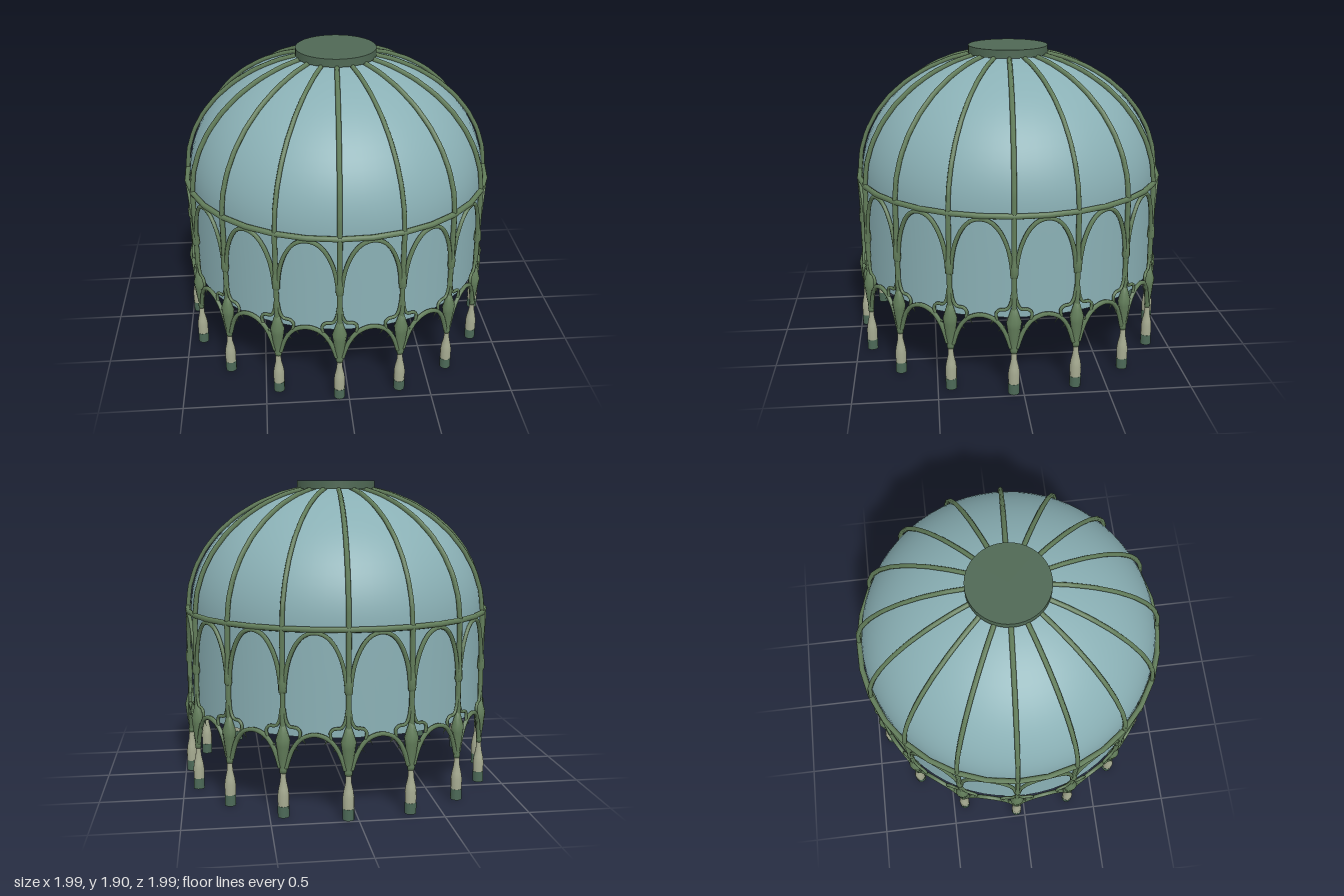
import * as THREE from 'three';

const N = 16, STEP = (Math.PI * 2) / N, PHASE = 0.0593;
const R = 0.962;            // radius of the ring of posts
const HALF = 0.189;         // half the arc length of one bay

const mat = (color, side = THREE.FrontSide) => new THREE.MeshStandardMaterial({ color, side });
const v2 = (p) => new THREE.Vector2(p[0], p[1]);

export function createModel() {
  const model = new THREE.Group();
  const cloth = mat(0x8ab0b5, THREE.DoubleSide);
  const iron = mat(0x627d5a);
  const capMat = mat(0x4f6854);
  const silk = mat(0xa5aa90);
  const tipMat = mat(0x4c6957);

  const add = (parent, name, geo, material) => {
    const m = new THREE.Mesh(geo, material);
    m.name = name;
    parent.add(m);
    return m;
  };

  // point on the post ring: s = arc length from the post, y = height
  const onRing = (s, y, r = R) => new THREE.Vector3(r * Math.cos(s / R), y, r * Math.sin(s / R));
  const tube = (pts, radius, seg) =>
    new THREE.TubeGeometry(new THREE.CatmullRomCurve3(pts), seg, radius, 6);
  // mirror half a bay (post to crown) into the full bay
  const fullBay = (half) => [
    ...half.map(([s, y]) => onRing(s, y)),
    ...half.slice(0, -1).reverse().map(([s, y]) => onRing(2 * HALF - s, y)),
  ];

  // cloth dome with open skirt
  const profile = [[0.94, 0.475], [0.94, 0.8]];
  for (let i = 0; i <= 20; i++) {
    const t = (i / 20) * Math.PI / 2;
    profile.push([0.94 * Math.cos(t), 1.1 + 0.77 * Math.sin(t)]);
  }
  profile[profile.length - 1][0] = 0;
  add(model, 'domeCloth', new THREE.LatheGeometry(profile.map(v2), 64), cloth);

  // top disc
  add(model, 'topDisc', new THREE.CylinderGeometry(0.25, 0.25, 0.05, 48), capMat).position.y = 1.88;

  // belt ring, faceted to meet the ribs
  const belt = add(model, 'beltRing', new THREE.TorusGeometry(R, 0.017, 8, 32), iron);
  belt.rotation.set(Math.PI / 2, 0, PHASE);
  belt.position.y = 1.095;

  // shared geometries for one bay
  const ribPts = [];
  for (let i = 0; i <= 8; i++) {
    const t = (i / 8) * 1.36;
    ribPts.push(new THREE.Vector3(R * Math.cos(t), 1.095 + 0.785 * Math.sin(t), 0));
  }
  const ribPath = new THREE.CurvePath();
  for (let i = 0; i < 8; i++) ribPath.add(new THREE.LineCurve3(ribPts[i], ribPts[i + 1]));
  const ribGeo = new THREE.TubeGeometry(ribPath, 24, 0.015, 6);

  const postGeo = new THREE.CylinderGeometry(0.016, 0.016, 0.77, 8);
  const upperArch = tube(fullBay([
    [0.01, 0.73], [0.018, 0.82], [0.04, 0.92], [0.082, 1.01], [0.13, 1.06], [HALF, 1.077],
  ]), 0.013, 36);
  const lowerHalf = [[0.018, 0.29], [0.04, 0.36], [0.068, 0.42], [0.115, 0.472], [HALF, 0.495]];
  const lowerArch = tube(fullBay(lowerHalf), 0.014, 30);
  const bracket = [[0.008, 0.64], [0.02, 0.57], [0.04, 0.537], [0.085, 0.53], [0.103, 0.508], [0.098, 0.47]];
  const brackets = [1, -1].map((k) => tube(bracket.map(([s, y]) => onRing(k * s, y)), 0.01, 18));

  const dropGeo = new THREE.LatheGeometry([
    [0, 0.255], [0.017, 0.26], [0.019, 0.28], [0.015, 0.295], [0.024, 0.35],
    [0.032, 0.42], [0.036, 0.455], [0.024, 0.5], [0.014, 0.54], [0, 0.55],
  ].map(v2), 10);
  const corbelGeo = new THREE.LatheGeometry([
    [0, 0.71], [0.012, 0.72], [0.024, 0.745], [0.022, 0.79], [0.014, 0.85],
  ].map(v2), 8);
  const tasselGeo = new THREE.LatheGeometry([
    [0.033, 0.065], [0.034, 0.13], [0.029, 0.165], [0.018, 0.215], [0.015, 0.27],
  ].map(v2), 12);
  const tipGeo = new THREE.CylinderGeometry(0.034, 0.034, 0.066, 12);
  const cuspGeo = new THREE.ConeGeometry(0.009, 0.055, 5);
  const up = new THREE.Vector3(0, 1, 0);

  for (let i = 0; i < N; i++) {
    const bay = new THREE.Group();
    bay.name = 'bay';
    bay.rotation.y = -(PHASE + i * STEP);
    model.add(bay);

    add(bay, 'domeRib', ribGeo, iron);
    add(bay, 'post', postGeo, iron).position.set(R, 0.71, 0);
    add(bay, 'upperArch', upperArch, iron);
    add(bay, 'scallopArch', lowerArch, iron);
    brackets.forEach((g) => add(bay, 'scrollBracket', g, iron));
    add(bay, 'corbel', corbelGeo, iron).position.x = R;
    const drop = add(bay, 'pendantDrop', dropGeo, iron);
    drop.position.x = R;
    drop.scale.z = 1.25;

    // thorn cusps hanging inside each scallop
    for (const [s, y, lean] of [[0.075, 0.41, 0.9], [0.125, 0.455, 0.5]]) {
      for (const k of [1, -1]) {
        const arc = k > 0 ? s : 2 * HALF - s;
        const cusp = add(bay, 'cusp', cuspGeo, iron);
        cusp.position.copy(onRing(arc, y));
        const a = arc / R;
        const dir = new THREE.Vector3(-Math.sin(a) * lean * k, -0.75, Math.cos(a) * lean * k).normalize();
        cusp.quaternion.setFromUnitVectors(up, dir);
      }
    }

    // tassel
    add(bay, 'tassel', tasselGeo, silk).position.x = R;
    add(bay, 'tasselTip', tipGeo, tipMat).position.set(R, 0.033, 0);
  }
  return model;
}
